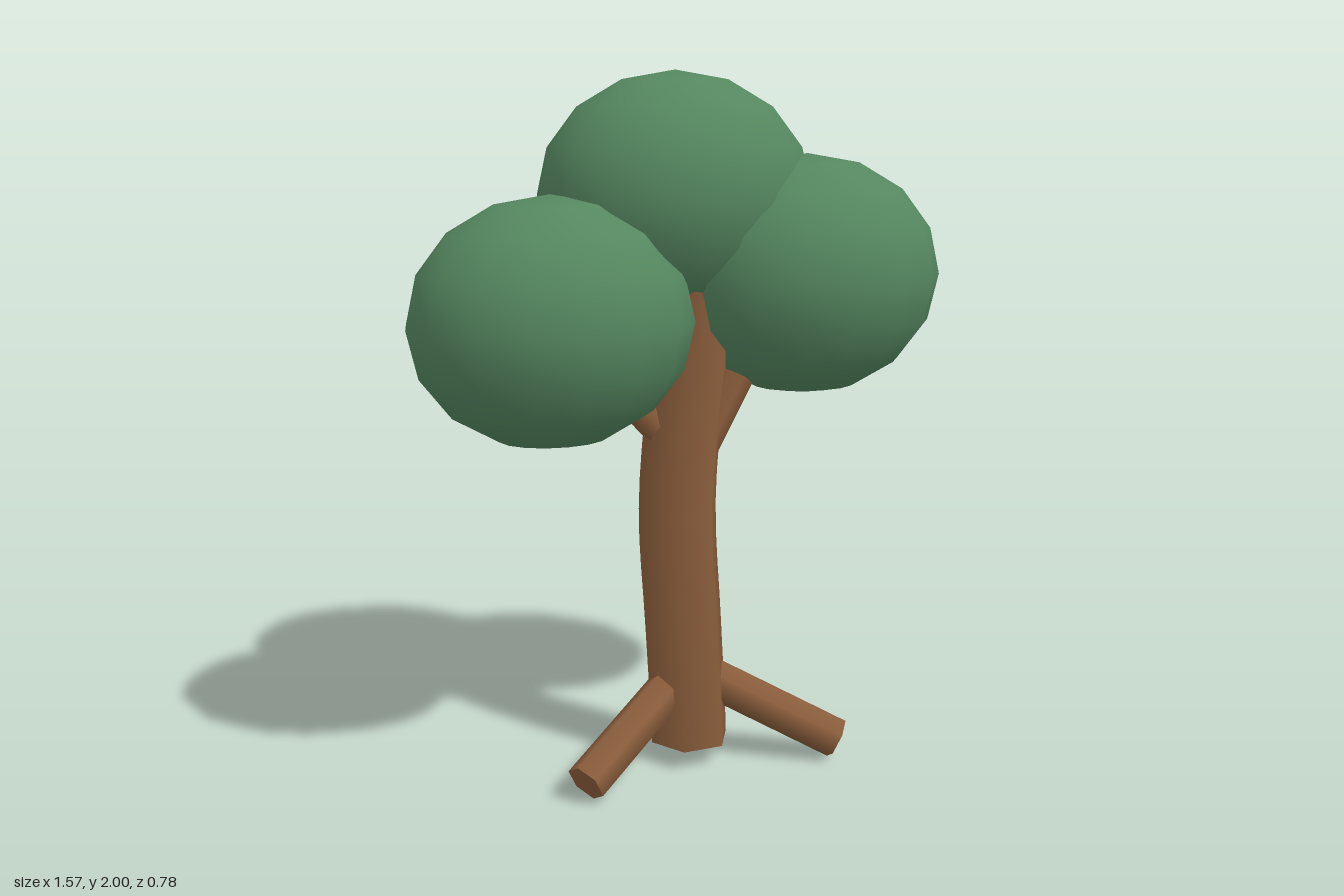
import * as THREE from 'three';

export function createModel() {
  const tree = new THREE.Group();
  tree.name = 'tree';
  const bark = new THREE.MeshStandardMaterial({ name: 'bark brown', color: 0x8b5e3c });
  const leaf = new THREE.MeshStandardMaterial({ name: 'leaf green', color: 0x558760 });

  function add(name, geometry, material) {
    const mesh = new THREE.Mesh(geometry, material);
    mesh.name = name;
    tree.add(mesh);
    return mesh;
  }

  // Straight six-sided limb between two points
  function limb(name, from, to, radius) {
    const a = new THREE.Vector3(...from), b = new THREE.Vector3(...to);
    const dir = b.clone().sub(a);
    const mesh = add(name, new THREE.CylinderGeometry(radius, radius, dir.length(), 6), bark);
    mesh.position.copy(a).add(b).multiplyScalar(0.5);
    mesh.quaternion.setFromUnitVectors(new THREE.Vector3(0, 1, 0), dir.normalize());
  }

  // Trunk: a hexagonal column whose rings follow a gentle sideways curve
  const bottom = 0.06, top = 1.5;
  const bend = new THREE.SplineCurve([
    [0.023, 0.06], [0.004, 0.42], [-0.015, 0.78], [0.014, 1.14], [0.06, 1.5],
  ].map(([x, y]) => new THREE.Vector2(x, y)));
  const trunk = new THREE.CylinderGeometry(0.12, 0.12, top - bottom, 6, 16);
  trunk.rotateY(Math.PI / 2);
  trunk.translate(0, (top + bottom) / 2, 0.055);
  const pos = trunk.attributes.position;
  for (let i = 0; i < pos.count; i++) {
    const t = (pos.getY(i) - bottom) / (top - bottom);
    pos.setX(i, pos.getX(i) + bend.getPoint(THREE.MathUtils.clamp(t, 0, 1)).x);
  }
  add('trunk', trunk, bark);

  // Roots, splayed forward
  limb('leftRoot', [0.07, 0.25, 0.055], [0.425, 0.055, 0.23], 0.061);
  limb('rightRoot', [-0.02, 0.25, 0.055], [-0.365, 0.055, 0.23], 0.061);

  // Branches reaching into the side crowns
  limb('leftBranch', [0.04, 0.91, 0.055], [0.3, 1.38, 0.055], 0.05);
  limb('rightBranch', [-0.02, 0.95, 0.055], [-0.3, 1.25, 0.055], 0.05);

  // Crowns
  for (const [name, x, y, z] of [
    ['topCrown', 0.025, 1.655, -0.06],
    ['leftCrown', 0.385, 1.425, 0.055],
    ['rightCrown', -0.385, 1.325, 0.055],
  ]) {
    const geometry = new THREE.SphereGeometry(1, 16, 8);
    geometry.scale(0.4, 0.345, 0.333);
    add(name, geometry, leaf).position.set(x, y, z);
  }
  return tree;
}
